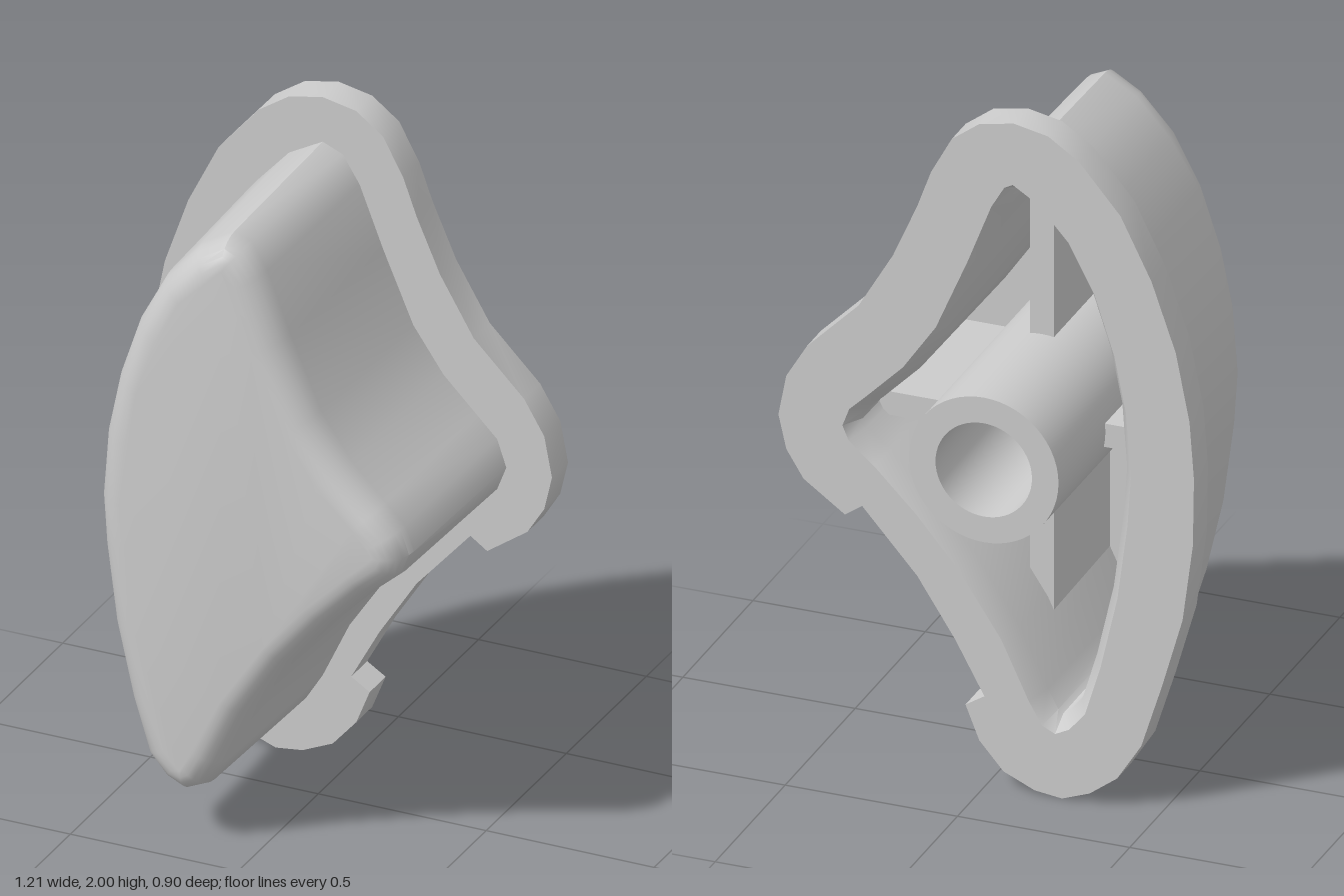
import * as THREE from 'three';
import { toCreasedNormals } from 'three/addons/utils/BufferGeometryUtils.js';

const toLoop = (pairs) => pairs.map(([x, y]) => new THREE.Vector2(x, y)).reverse(); // counter-clockwise

// Outline of the mounting flange, with the step cut into its lower right edge
const FLANGE = toLoop([
  [-0.08, 2], [0.02, 1.98], [0.1, 1.92], [0.16, 1.81], [0.2, 1.7], [0.27, 1.54], [0.37, 1.37],
  [0.52, 1.22], [0.58, 1.12], [0.603, 1], [0.58, 0.9], [0.53, 0.82], [0.41, 0.735], [0.36, 0.77],
  [0.2, 0.59], [0.09, 0.42], [0.005, 0.265], [0.06, 0.23], [0.02, 0.13], [-0.05, 0.05],
  [-0.14, 0.01], [-0.22, 0], [-0.3, 0.03], [-0.38, 0.09], [-0.45, 0.2], [-0.51, 0.39],
  [-0.57, 0.6], [-0.6, 0.83], [-0.603, 1.03], [-0.59, 1.2], [-0.55, 1.4], [-0.48, 1.6],
  [-0.39, 1.78], [-0.27, 1.92], [-0.18, 1.98],
]);

// Outline of the hollow body
const BODY = toLoop([
  [-0.08, 1.865], [-0.02, 1.84], [0.03, 1.76], [0.1, 1.58], [0.19, 1.37], [0.28, 1.24],
  [0.38, 1.14], [0.44, 1.08], [0.467, 1], [0.44, 0.93], [0.36, 0.86], [0.24, 0.74],
  [0.12, 0.6], [0, 0.42], [-0.08, 0.25], [-0.13, 0.17], [-0.2, 0.14], [-0.27, 0.17],
  [-0.33, 0.24], [-0.38, 0.4], [-0.43, 0.62], [-0.46, 0.85], [-0.47, 1], [-0.455, 1.2],
  [-0.42, 1.37], [-0.36, 1.55], [-0.28, 1.7], [-0.18, 1.81],
]);

// Move every point of a loop inwards by distance d
function inset(loop, d) {
  const n = loop.length;
  return loop.map((p, i) => {
    const a = p.clone().sub(loop[(i + n - 1) % n]).normalize();
    const b = loop[(i + 1) % n].clone().sub(p).normalize();
    const t = a.add(b).normalize();
    return new THREE.Vector2(p.x - t.y * d, p.y + t.x * d);
  });
}

// Skin through insets of the body outline, closed at the last one
function skin(levels, inward) {
  const n = BODY.length, pos = [], index = [];
  const add = (a, b, c) => (inward ? index.push(a, c, b) : index.push(a, b, c));
  let loop;
  levels.forEach(([d, z], k) => {
    loop = inset(BODY, d);
    loop.forEach((p) => pos.push(p.x, p.y, z));
    if (k === 0) return;
    for (let i = 0; i < n; i++) {
      const a = (k - 1) * n + i, b = (k - 1) * n + ((i + 1) % n);
      add(a, b, b + n);
      add(a, b + n, a + n);
    }
  });
  const last = (levels.length - 1) * n;
  THREE.ShapeUtils.triangulateShape(loop, []).forEach(([a, b, c]) => add(last + a, last + b, last + c));
  const geo = new THREE.BufferGeometry();
  geo.setAttribute('position', new THREE.Float32BufferAttribute(pos, 3));
  geo.setIndex(index);
  return toCreasedNormals(geo, 0.7);
}

export function createModel() {
  const group = new THREE.Group();
  const material = new THREE.MeshStandardMaterial({ color: 0xcccccc });
  const add = (name, geo) => {
    const mesh = new THREE.Mesh(geo, material);
    mesh.name = name;
    group.add(mesh);
    return mesh;
  };

  // Flange plate with its opening
  const plate = new THREE.Shape(FLANGE);
  plate.holes.push(new THREE.Path(inset(BODY, 0.05)));
  const plateGeo = new THREE.ExtrudeGeometry(plate, { depth: 0.1, bevelEnabled: false });
  add('flange', toCreasedNormals(plateGeo, 0.5)).position.z = -0.295;

  // Body shell: slight draft, then a rounded front edge
  const outer = [[0, -0.195]];
  for (let i = 0; i <= 6; i++) {
    const a = (i / 6) * Math.PI / 2;
    outer.push([0.013 + 0.08 * (1 - Math.cos(a)), 0.355 + 0.095 * Math.sin(a)]);
  }
  add('bodyShell', skin(outer, false));

  // Cavity with chamfered mouth
  add('cavity', skin([[0.05, -0.295], [0.085, -0.235], [0.09, 0.36]], true));

  // Hollow shaft socket
  const cx = -0.058, cy = 1.03;
  const ring = new THREE.Shape().absarc(cx, cy, 0.217, 0, Math.PI * 2, false);
  ring.holes.push(new THREE.Path().absarc(cx, cy, 0.14, 0, Math.PI * 2, true));
  const socket = new THREE.ExtrudeGeometry(ring, { depth: 0.83, bevelEnabled: false, curveSegments: 28 });
  add('socket', toCreasedNormals(socket, 0.6)).position.z = -0.455;

  // Ribs between socket and cavity walls: x0, x1, y0, y1, rear z
  [
    [0.13, 0.42, 0.965, 1.035, -0.12],
    [-0.42, -0.25, 0.985, 1.055, -0.12],
    [-0.093, -0.023, 1.22, 1.78, -0.04],
    [-0.093, -0.023, 0.42, 0.84, -0.04],
  ].forEach(([x0, x1, y0, y1, z]) => {
    add('rib', new THREE.BoxGeometry(x1 - x0, y1 - y0, 0.37 - z))
      .position.set((x0 + x1) / 2, (y0 + y1) / 2, (0.37 + z) / 2);
  });

  return group;
}
